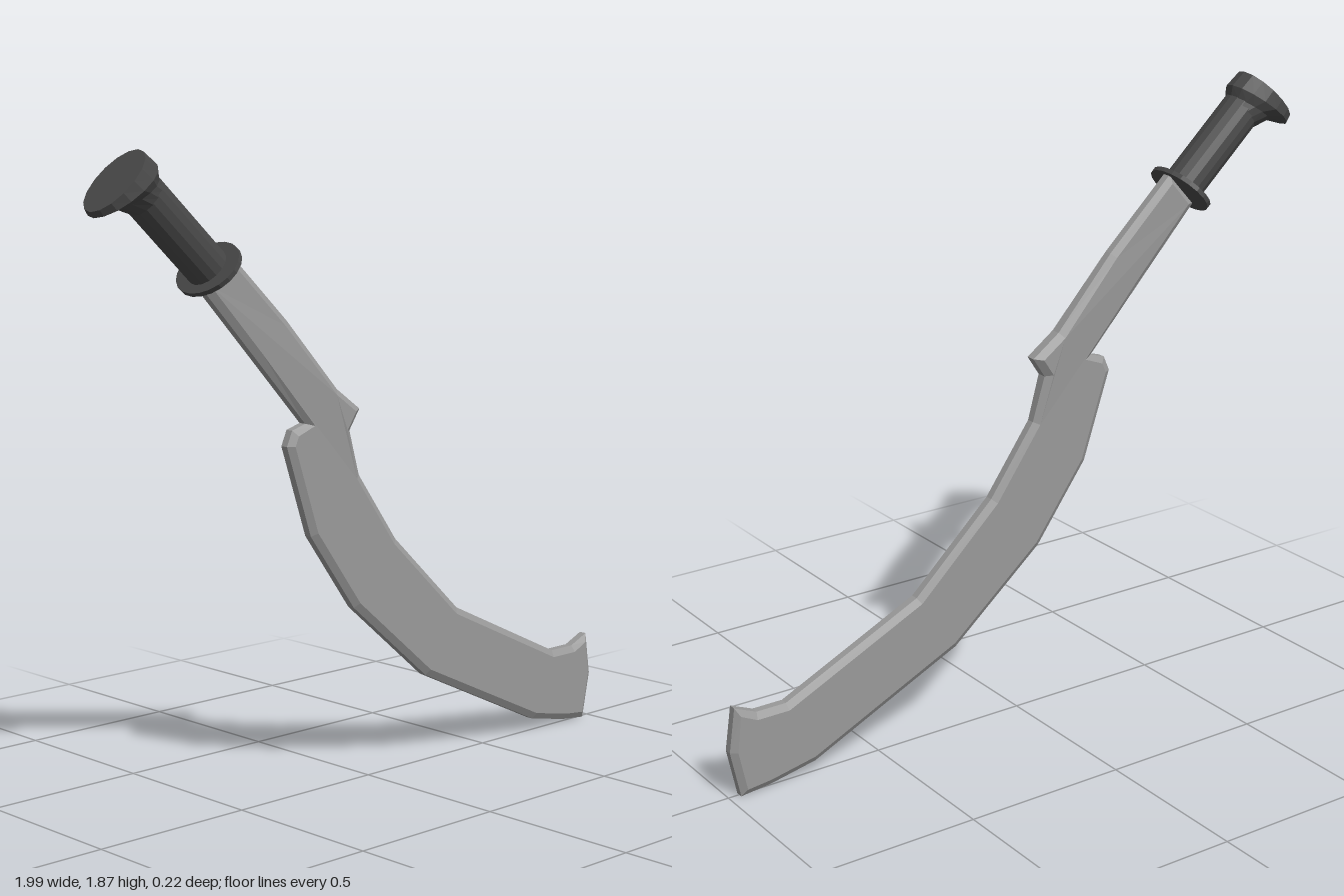
import * as THREE from 'three';

const steel = new THREE.MeshStandardMaterial({ color: 0x999999, flatShading: true });
const dark = new THREE.MeshStandardMaterial({ color: 0x484848, flatShading: true });

function part(name, geometry, material) {
  const mesh = new THREE.Mesh(geometry, material);
  mesh.name = name;
  return mesh;
}

// Sickle blade: bevelled outline, slightly swollen at the spur
function bladeGeometry() {
  const outline = [
    // inner edge, from the guard to the tip
    [-0.55, 1.61], [-0.33, 1.40], [-0.14, 1.19], [-0.05, 1.125], [-0.09, 1.065],
    [-0.05, 0.93], [0.10, 0.72], [0.365, 0.47], [0.81, 0.26], [0.905, 0.26], [0.975, 0.29],
    // tip
    [0.995, 0.155], [0.965, 0.01],
    // cutting edge, back to the guard
    [0.87, 0.02], [0.72, 0.05], [0.23, 0.28], [-0.07, 0.535], [-0.24, 0.77],
    [-0.33, 1.04], [-0.31, 1.085], [-0.26, 1.10], [-0.445, 1.30], [-0.64, 1.51],
  ];
  const shape = new THREE.Shape(outline.map(([x, y]) => new THREE.Vector2(x, y)));
  const core = 0.024;
  const geo = new THREE.ExtrudeGeometry(shape, {
    depth: core, bevelEnabled: true, bevelSegments: 1,
    bevelThickness: 0.013, bevelSize: 0.02, bevelOffset: -0.02,
  });
  geo.translate(0, 0, -core / 2);
  const p = geo.attributes.position;
  for (let i = 0; i < p.count; i++) {
    const x = p.getX(i), y = p.getY(i);
    if (x > -0.19 && y > 1.03 && y < 1.22) p.setZ(i, p.getZ(i) * 1.25);
  }
  geo.computeVertexNormals();
  return geo;
}

// Lopsided flared pommel: stacked elliptical rings, each shifted and tilted
function pommelGeometry() {
  // height, tilt, x offset, x radius, z radius
  const rings = [
    [0.29, 0, 0, 0.062, 0.06],
    [0.33, -0.018, -0.015, 0.075, 0.07],
    [0.361, -0.023, -0.036, 0.117, 0.09],
    [0.399, -0.004, -0.036, 0.113, 0.085],
    [0.399, 0, -0.036, 0, 0],
  ];
  const profile = rings.map((r, i) => new THREE.Vector2(i < 4 ? 1 : 0, i));
  const geo = new THREE.LatheGeometry(profile, 16);
  const p = geo.attributes.position;
  for (let i = 0; i < p.count; i++) {
    const [y, tilt, cx, rx, rz] = rings[i % rings.length];
    const x = p.getX(i), z = p.getZ(i);
    p.setXYZ(i, cx + x * rx, y + x * tilt, z * rz);
  }
  geo.computeVertexNormals();
  return geo;
}

export function createModel() {
  const model = new THREE.Group();
  model.name = 'sickleSword';
  model.add(part('blade', bladeGeometry(), steel));

  // Hilt, built upright from the guard and then leaned into line
  const hilt = new THREE.Group();
  hilt.name = 'hilt';
  hilt.position.set(-0.6, 1.555, 0);
  hilt.rotation.z = 0.82;

  const guard = part('guard', new THREE.CylinderGeometry(1, 1, 0.014, 20), dark);
  guard.scale.set(0.092, 1, 0.112);
  const grip = part('grip', new THREE.CylinderGeometry(0.062, 0.062, 0.32, 16), dark);
  grip.position.y = 0.16;
  hilt.add(guard, grip, part('pommel', pommelGeometry(), dark));

  model.add(hilt);
  return model;
}
